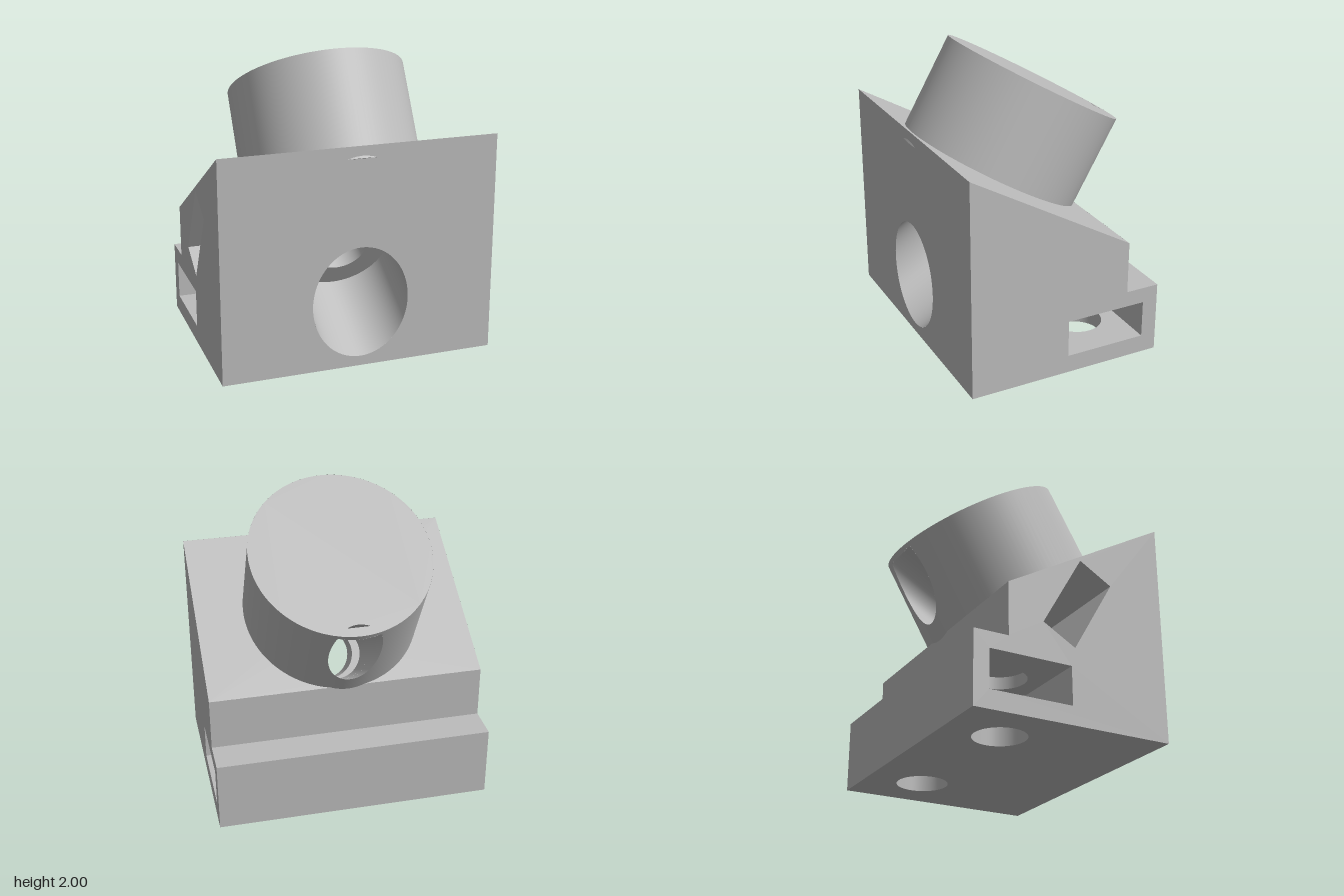
import * as THREE from 'three';
import { ParametricGeometry } from 'three/addons/geometries/ParametricGeometry.js';

const HALF_W = 0.91;                 // half width of the block
const FRONT = 0.71;
const K = Math.sqrt(3) / 2;          // cos 30 degrees
const HOLE = 0.17, BORE = 0.32;      // bolt hole and counterbore radii
const RX = 0.59, RW = 0.625, BOSS_H = 0.709;
const HOLE_END = 1.244;              // length of the tilted bolt hole
const A0 = -0.964, Q0 = -0.638;      // bolt-hole origin seen from the boss frame

const grey = new THREE.MeshStandardMaterial({ color: 0xbcbcbc, side: THREE.DoubleSide });
grey.name = 'grey plastic';

const group = (name, parent) => {
  const g = new THREE.Group();
  g.name = name;
  parent.add(g);
  return g;
};
const add = (parent, name, geometry) => {
  const m = new THREE.Mesh(geometry, grey);
  m.name = name;
  parent.add(m);
  return m;
};
const polygon = (pts) => new THREE.Shape(pts.map(([x, y]) => new THREE.Vector2(x, y)));
const ellipse = (cx, cy, rx, ry, Type = THREE.Path) => {
  const p = new Type();
  p.absellipse(cx, cy, rx, ry, 0, Math.PI * 2);
  return p;
};
// flat plate with holes at height z
const plate = (shape, holes, z) => {
  shape.holes.push(...holes);
  return new THREE.ShapeGeometry(shape, 32).translate(0, 0, z);
};
// flat-shaded walls standing on an open outline
const ribbon = (pts, z0, z1) => {
  const v = [];
  for (let i = 0; i + 1 < pts.length; i++) {
    const [a, b] = [pts[i], pts[i + 1]];
    v.push(...a, z0, ...b, z0, ...b, z1, ...a, z0, ...b, z1, ...a, z1);
  }
  const g = new THREE.BufferGeometry();
  g.setAttribute('position', new THREE.Float32BufferAttribute(v, 3));
  g.computeVertexNormals();
  return g;
};
// hole wall whose two ends follow rules of (x, y)
const tube = (r, start, end) => new ParametricGeometry((s, t, p) => {
  const x = r * Math.cos(s * 2 * Math.PI), y = r * Math.sin(s * 2 * Math.PI);
  p.set(x, y, THREE.MathUtils.lerp(start(x, y), end(x, y), t));
}, 64, 1);
const at = (c) => () => c;

// hexagon-ended nut slot, reaching out to `len` on side `dir`
const slotHalf = 0.275;
function nutSlot(parent, len, dir, z0, z1) {
  const pts = [[len, slotHalf], [-0.159, slotHalf], [-0.318, 0], [-0.159, -slotHalf], [len, -slotHalf]]
    .map(([x, y]) => [x * dir, y]);
  add(parent, 'nutSlotWalls', ribbon(pts, z0, z1));
  for (const z of [z0, z1]) {
    add(parent, 'nutSlotPlate', plate(polygon(pts), [ellipse(0, 0, HOLE, HOLE)], z));
  }
}

function buildBlock(root) {
  const block = group('block', root);
  const profile = [[-FRONT, 0], [-FRONT, 1.46], [0.39, 0.825], [0.39, 0.475], [0.62, 0.475], [0.62, 0]];
  const rect = (cx, cy, hx, hy, tilt) => {
    const [c, s] = [Math.cos(tilt), Math.sin(tilt)];
    return polygon([[-hx, -hy], [hx, -hy], [hx, hy], [-hx, hy]]
      .map(([x, y]) => [cx + x * c - y * s, cy + x * s + y * c]));
  };
  // side panels with slot openings; profile x runs towards the back
  const sides = group('sides', block);
  sides.rotation.y = Math.PI / 2;
  const lowSlot = () => rect(0.24, 0.245, slotHalf, 0.125, 0);
  add(sides, 'leftSide', plate(polygon(profile), [lowSlot()], HALF_W));
  add(sides, 'rightSide', plate(polygon(profile),
    [lowSlot(), rect(-0.338 + K * 0.284, 0.65 + 0.142, 0.125, slotHalf, Math.PI / 6)], -HALF_W));
  add(sides, 'backStep', ribbon(profile.slice(2), -HALF_W, HALF_W));

  // front panel with the counterbore mouth
  add(block, 'frontPanel', plate(
    polygon([[-HALF_W, 0], [HALF_W, 0], [HALF_W, 1.46], [-HALF_W, 1.46]]),
    [ellipse(0, 0.435, BORE, BORE / K)], FRONT));

  // underside with two bolt holes
  const base = group('underside', block);
  base.rotation.x = -Math.PI / 2;
  add(base, 'bottomPanel', plate(
    polygon([[-HALF_W, -FRONT], [HALF_W, -FRONT], [HALF_W, 0.62], [-HALF_W, 0.62]]),
    [-0.53, 0.53].map((x) => ellipse(x, 0.24, HOLE, HOLE)), 0));
  for (const dir of [-1, 1]) {
    const bolt = group('baseBoltHole', base);
    bolt.position.set(0.53 * dir, 0.24, 0);
    nutSlot(bolt, HALF_W - 0.53, dir, 0.12, 0.37);
    add(bolt, 'boltHoleLower', tube(HOLE, at(0), at(0.12)));
    add(bolt, 'boltHoleUpper', tube(HOLE, at(0.37), at(0.45)));
    add(bolt, 'boltHoleEnd', plate(ellipse(0, 0, HOLE, HOLE, THREE.Shape), [], 0.45));
  }
}

// back of the boss at a given x
const bossBack = (x) => RW * Math.sqrt(1 - (x / RX) ** 2);

function buildBoss(root) {
  // frame: x across, y down the slope to the back, z along the boss axis, top at z = 0
  const boss = group('boss', root);
  boss.position.set(0, 1.685, -0.178);
  boss.rotation.x = -Math.PI * 2 / 3;
  const crossing = (z) => ellipse(0, (-Q0 + 0.5 * z) / K, HOLE, HOLE / K);

  add(boss, 'slopedTop', plate(
    polygon([[-HALF_W, -0.656], [HALF_W, -0.656], [HALF_W, 0.614], [-HALF_W, 0.614]]),
    [crossing(-0.639)], -0.639));
  add(boss, 'bossBottom', plate(ellipse(0, 0, RX, RW, THREE.Shape), [crossing(-BOSS_H)], -BOSS_H));

  // top disc with the narrow slit where the hole breaks through
  const slit = [];
  for (let i = 0; i <= 12; i++) {
    const x = -0.074 + 0.148 * i / 12;
    slit.push([x, (-Q0 - Math.sqrt(HOLE * HOLE - x * x)) / K]);
  }
  add(boss, 'bossTop', plate(ellipse(0, 0, RX, RW, THREE.Shape), [polygon(slit)], 0));

  // wall, split around the hole at the back
  const edge = Math.asin(HOLE / RX);
  add(boss, 'bossWall', new ParametricGeometry((s, t, p) => {
    const a = edge + s * 2 * (Math.PI - edge);
    p.set(RX * Math.sin(a), RW * Math.cos(a), -BOSS_H * (1 - t));
  }, 96, 1));
  const backStrip = (low) => new ParametricGeometry((s, t, p) => {
    const f = (s - 0.5) * Math.PI;
    const x = HOLE * Math.sin(f), h = HOLE * Math.cos(f), w = bossBack(x);
    const lower = (K * w + Q0 - h) / 0.5;
    const upper = Math.min((K * w + Q0 + h) / 0.5, (HOLE_END + A0 - 0.5 * w) / K);
    p.set(x, w, low ? THREE.MathUtils.lerp(-BOSS_H, lower, t) : THREE.MathUtils.lerp(upper, 0, t));
  }, 32, 1);
  add(boss, 'bossWallBelowHole', backStrip(true));
  add(boss, 'bossWallAboveHole', backStrip(false));
}

function buildTiltedHole(root) {
  // frame: z along the hole, starting at the counterbore floor
  const hole = group('tiltedBoltHole', root);
  hole.position.set(0, 0.65, 0.338);
  hole.rotation.x = -Math.PI * 5 / 6;

  add(hole, 'counterbore', tube(BORE, (x, y) => -(FRONT - 0.338 + 0.5 * y) / K, at(0)));
  add(hole, 'counterboreFloor', new THREE.RingGeometry(HOLE, BORE, 64));
  add(hole, 'boltHoleFront', tube(HOLE, at(0), at(0.159)));
  nutSlot(hole, HALF_W, -1, 0.159, 0.409);

  // rear length, trimmed by the boss wall and boss top
  add(hole, 'boltHoleRear', tube(HOLE, at(0.409), (x, y) => {
    const q = y - Q0;
    return Math.min(HOLE_END, (bossBack(x) - K * q) / 0.5 - A0, 0.5 * q / K - A0);
  }));
  // remaining sliver of the hole's end face
  add(hole, 'boltHoleEnd', new ParametricGeometry((s, t, p) => {
    const x = (s - 0.5) * 0.276;
    const lo = Math.max(-Math.sqrt(HOLE * HOLE - x * x), 2 * K * (HOLE_END + A0) + Q0);
    const hi = (bossBack(x) - 0.5 * (HOLE_END + A0)) / K + Q0;
    p.set(x, THREE.MathUtils.lerp(lo, Math.max(lo, hi), t), HOLE_END);
  }, 24, 1));
}

export function createModel() {
  const root = new THREE.Group();
  root.name = 'angledMount';
  buildBlock(root);
  buildBoss(root);
  buildTiltedHole(root);
  return root;
}
